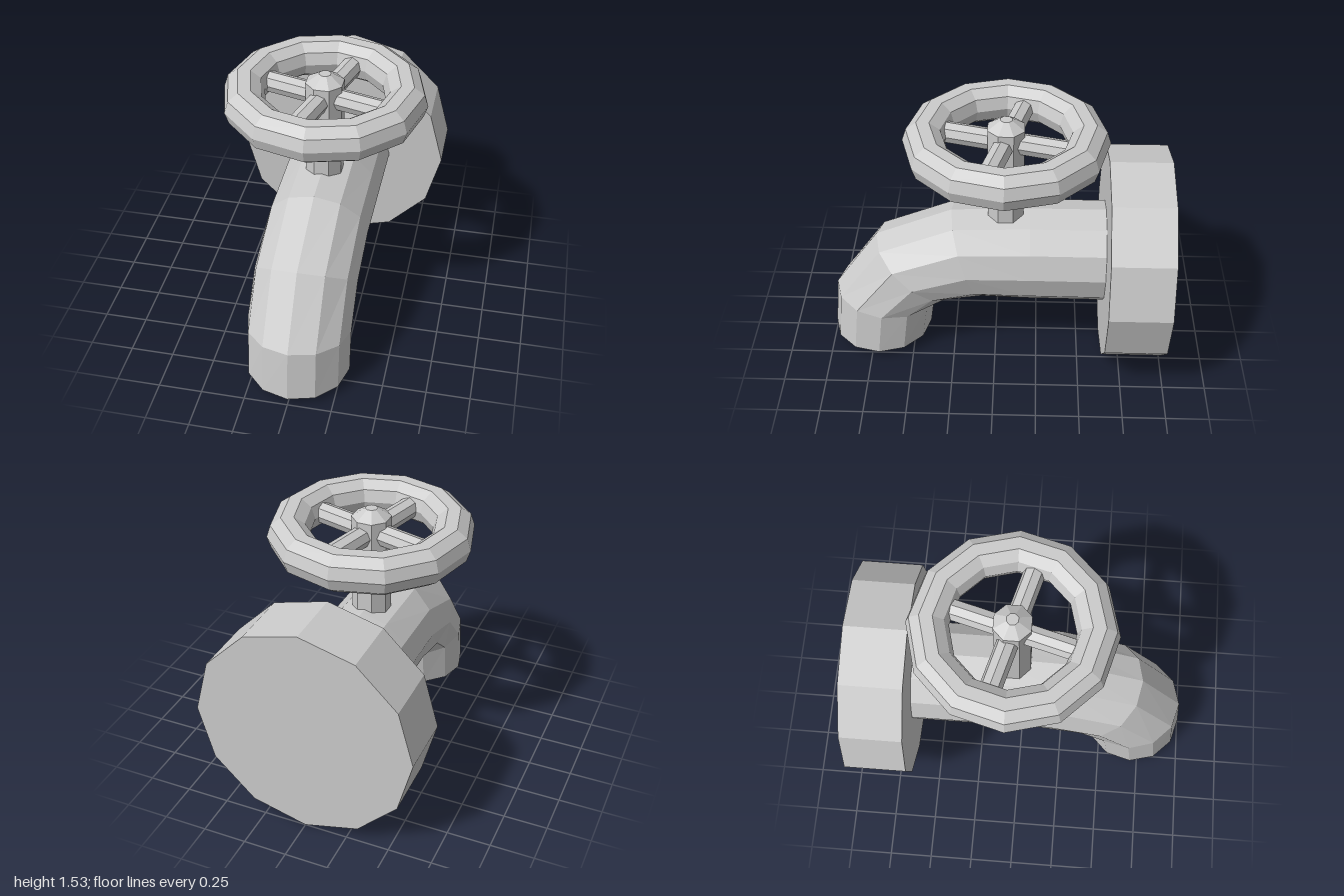
import * as THREE from 'three';

const material = new THREE.MeshStandardMaterial({ color: 0xcccccc, flatShading: true });

function addPart(parent, name, geometry, x = 0, y = 0, z = 0) {
  const mesh = new THREE.Mesh(geometry, material);
  mesh.name = name;
  mesh.position.set(x, y, z);
  parent.add(mesh);
  return mesh;
}

// Skin a bent pipe through rings given as [topZ, topY, bottomZ, bottomY, scale].
function pipeGeometry(rings, halfWidth, sides) {
  const positions = [], indices = [];
  for (const [tz, ty, bz, by, scale] of rings) {
    for (let j = 0; j < sides; j++) {
      const a = (j / sides) * Math.PI * 2;
      const c = Math.cos(a) * scale / 2;
      positions.push(
        Math.sin(a) * halfWidth * scale,
        (ty + by) / 2 + (ty - by) * c,
        (tz + bz) / 2 + (tz - bz) * c
      );
    }
  }
  for (let i = 0; i < rings.length - 1; i++) {
    for (let j = 0; j < sides; j++) {
      const k = (j + 1) % sides;
      const a = i * sides + j, b = i * sides + k;
      const c = a + sides, d = b + sides;
      indices.push(a, c, b, b, c, d);
    }
  }
  const indexed = new THREE.BufferGeometry();
  indexed.setAttribute('position', new THREE.Float32BufferAttribute(positions, 3));
  indexed.setIndex(indices);
  const geometry = indexed.toNonIndexed();
  geometry.computeVertexNormals();
  return geometry;
}

export function createModel() {
  const model = new THREE.Group();
  model.name = 'tap';

  // Wall flange
  addPart(model, 'wallFlange',
    new THREE.CylinderGeometry(0.633, 0.633, 0.36, 12).rotateX(Math.PI / 2), 0, 0.633, -0.82);

  // Spout: outer skin, then the lip and the bore running back inside
  const outer = [
    [-0.66, 0.933, -0.66, 0.335, 1],
    [-0.2, 0.933, -0.2, 0.338, 1],
    [0.26, 0.915, 0.07, 0.35, 1],
    [0.71, 0.73, 0.26, 0.335, 1],
    [0.97, 0.36, 0.375, 0.285, 1],
    [1.0, 0.045, 0.405, 0.055, 1],
  ];
  const bore = [5, 4, 3].map((i) => [...outer[i].slice(0, 4), 0.73]);
  const boreEnd = [...outer[3].slice(0, 4), 0];
  addPart(model, 'spout', pipeGeometry([...outer, ...bore, boreEnd], 0.3, 12));

  // Valve stem with a tapered cap
  const valve = new THREE.Group();
  valve.name = 'valve';
  valve.position.z = -0.057;
  model.add(valve);
  const stemProfile = [[0, 0.9], [0.112, 0.9], [0.112, 1.485], [0.035, 1.535], [0, 1.535]]
    .map(([r, y]) => new THREE.Vector2(r, y));
  addPart(valve, 'stem', new THREE.LatheGeometry(stemProfile, 8, Math.PI / 8));

  // Handwheel rim and spokes
  const wheel = new THREE.Group();
  wheel.name = 'handwheel';
  wheel.position.y = 1.392;
  valve.add(wheel);
  addPart(wheel, 'rim', new THREE.TorusGeometry(0.464, 0.118, 10, 12).rotateX(Math.PI / 2));
  for (let i = 0; i < 4; i++) {
    const spoke = addPart(wheel, 'spoke',
      new THREE.CylinderGeometry(0.062, 0.062, 0.4, 8, 1, true)
        .rotateZ(Math.PI / 2).translate(0.24, 0, 0));
    spoke.rotation.y = -Math.PI / 12 + i * Math.PI / 2;
  }
  return model;
}
